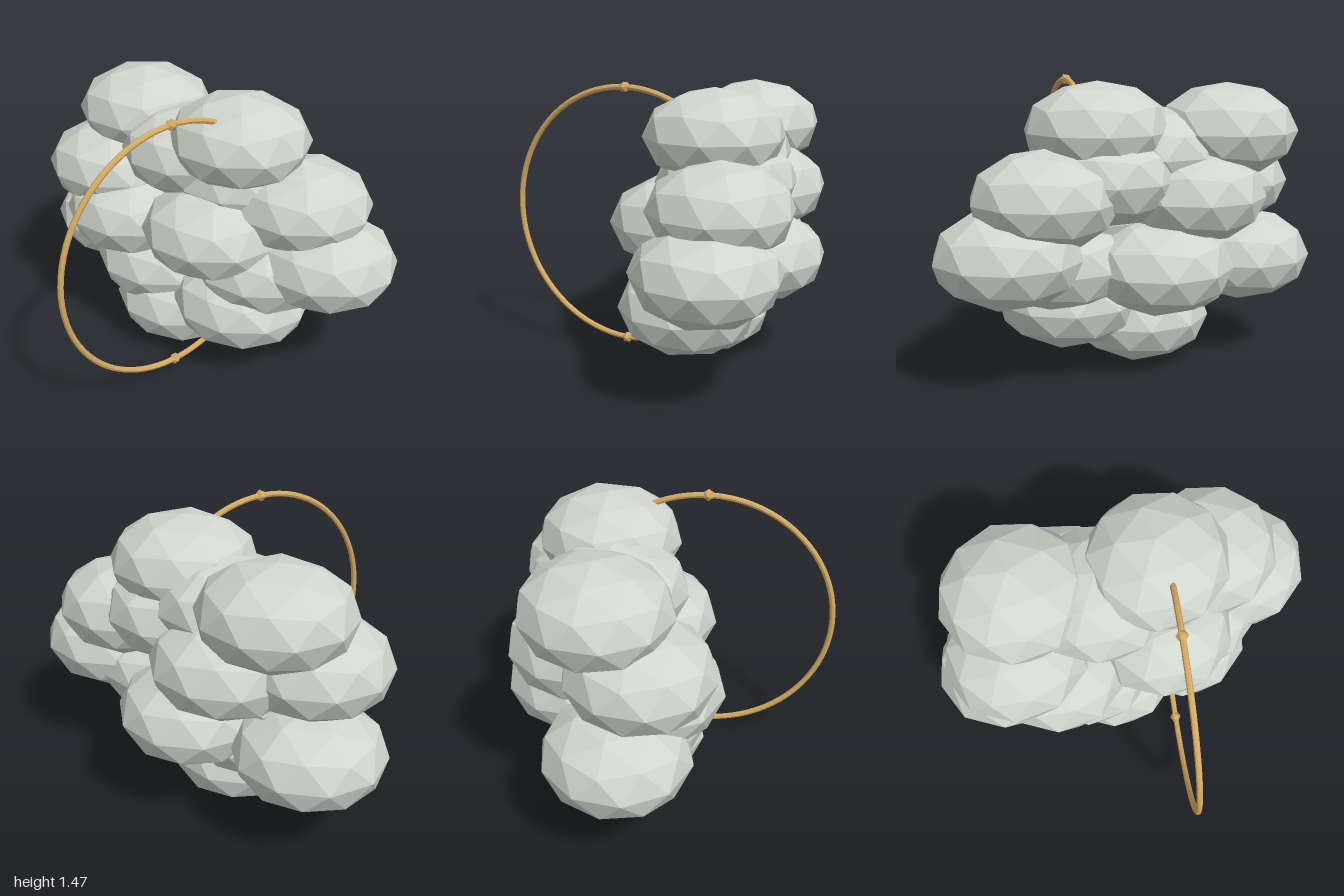
import * as THREE from 'three';

const stone = new THREE.MeshStandardMaterial({ color: 0xd0d5cd });
stone.name = 'pale grey stone';
stone.flatShading = true;
const bronze = new THREE.MeshStandardMaterial({ color: 0xd4aa62 });
bronze.name = 'bronze';
bronze.flatShading = true;

// Centres of the puffs that make up the cloud
const PUFFS = [
  [0.15, 1.225, -0.178], [-0.475, 1.207, -0.477],                       // crown
  [-0.14, 1.1, -0.265], [0.15, 1.0, -0.24],                             // upper core
  [0.484, 0.925, -0.17], [-0.61, 0.925, -0.33], [-0.23, 0.9, -0.47],    // shoulders
  [0.065, 0.78, -0.015], [-0.46, 0.72, -0.215], [0.645, 0.663, -0.092], // middle
  [0.32, 0.585, -0.09], [-0.025, 0.57, -0.435], [-0.65, 0.535, -0.46],
  [-0.29, 0.45, -0.22], [0.22, 0.375, -0.046], [-0.16, 0.246, -0.175],  // base
];

// Flattened icosphere with a vertex at the top
function puffGeometry() {
  const g = new THREE.IcosahedronGeometry(1, 1);
  g.rotateX(-Math.atan((1 + Math.sqrt(5)) / 2));
  g.rotateY(Math.PI / 2);
  g.scale(0.371, 0.239, 0.358);
  g.computeVertexNormals();
  return g;
}

export function createModel() {
  const model = new THREE.Group();
  model.name = 'cloudWithHoop';

  const cloud = new THREE.Group();
  cloud.name = 'cloud';
  const puff = puffGeometry();
  for (const p of PUFFS) {
    const mesh = new THREE.Mesh(puff, stone);
    mesh.name = 'puff';
    mesh.position.set(...p);
    cloud.add(mesh);
  }
  model.add(cloud);

  // Upright open hoop whose ends sink into the cloud, with a bead at top and bottom
  const hoop = new THREE.Group();
  hoop.name = 'hoop';
  const radius = 0.67;
  const start = THREE.MathUtils.degToRad(55);
  const arc = new THREE.TorusGeometry(radius, 0.015, 8, 56, 2 * (Math.PI - start));
  arc.rotateZ(start);
  arc.scale(0.98, 1, 1);
  const ring = new THREE.Mesh(arc, bronze);
  ring.name = 'ring';
  hoop.add(ring);

  // Beads have a corner facing along the hoop's axis
  const beadGeometry = new THREE.IcosahedronGeometry(0.03, 0);
  beadGeometry.rotateX(Math.atan(2 / (1 + Math.sqrt(5))));
  beadGeometry.rotateZ(Math.PI);
  for (const side of [1, -1]) {
    const bead = new THREE.Mesh(beadGeometry, bronze);
    bead.name = side > 0 ? 'topBead' : 'bottomBead';
    bead.position.y = side * radius;
    hoop.add(bead);
  }
  hoop.rotation.y = THREE.MathUtils.degToRad(59.5);
  hoop.position.set(-0.05, 0.778, 0.257);
  model.add(hoop);

  return model;
}
